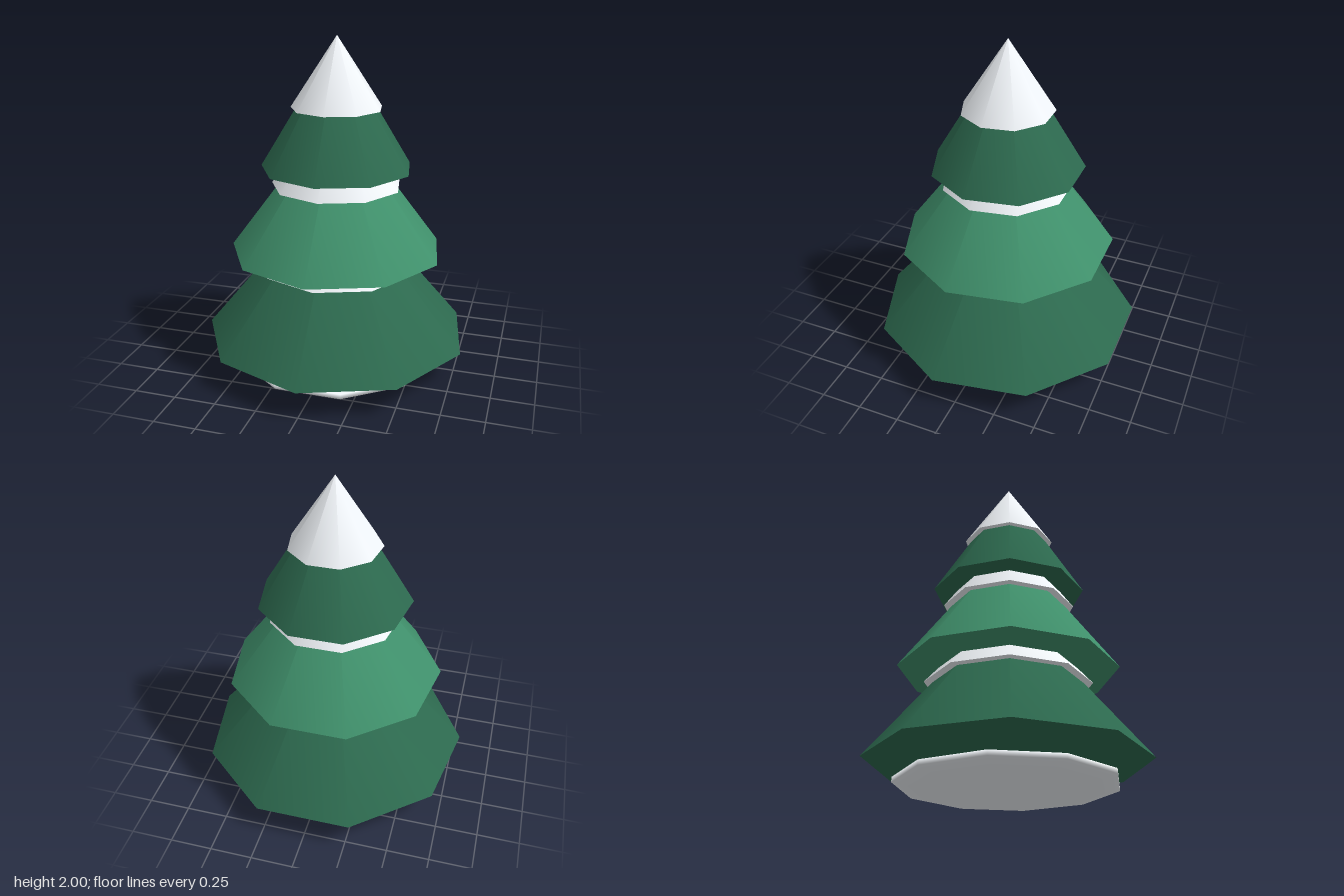
import * as THREE from 'three';

const AXIS_Z = -0.025; // tree axis; the nine-sided tiers reach further forward than back

export function createModel() {
  const group = new THREE.Group();
  const paint = (color) => new THREE.MeshStandardMaterial({ color });
  const darkGreen = paint(0x2d6a4f);
  const lightGreen = paint(0x40916c);
  const snow = paint(0xf1f5f9);
  const bark = paint(0x6b4226);

  const add = (name, geometry, material, y) => {
    const mesh = new THREE.Mesh(geometry, material);
    mesh.name = name;
    mesh.position.set(0, y, AXIS_Z);
    group.add(mesh);
    return mesh;
  };

  // Flattened mound of snow on the ground
  add('snowMound', new THREE.SphereGeometry(0.651, 10, 7), snow, 0.065).scale.y = 0.1;

  // Trunk
  add('trunk', new THREE.CylinderGeometry(0.12, 0.147, 0.3, 9), bark, 0.2);

  // Foliage tiers and snow caps: name, radius, base height, tip height, material
  const cones = [
    ['lowerFoliage', 0.812, 0.18, 1.16, darkGreen],
    ['lowerSnow', 0.49, 0.63, 1.18, snow],
    ['middleFoliage', 0.647, 0.72, 1.59, lightGreen],
    ['middleSnow', 0.392, 1.125, 1.67, snow],
    ['upperFoliage', 0.454, 1.23, 1.98, darkGreen],
    ['topSnow', 0.272, 1.585, 2.0, snow],
  ];
  for (const [name, radius, base, tip, material] of cones) {
    add(name, new THREE.ConeGeometry(radius, tip - base, 9), material, (base + tip) / 2);
  }

  return group;
}
